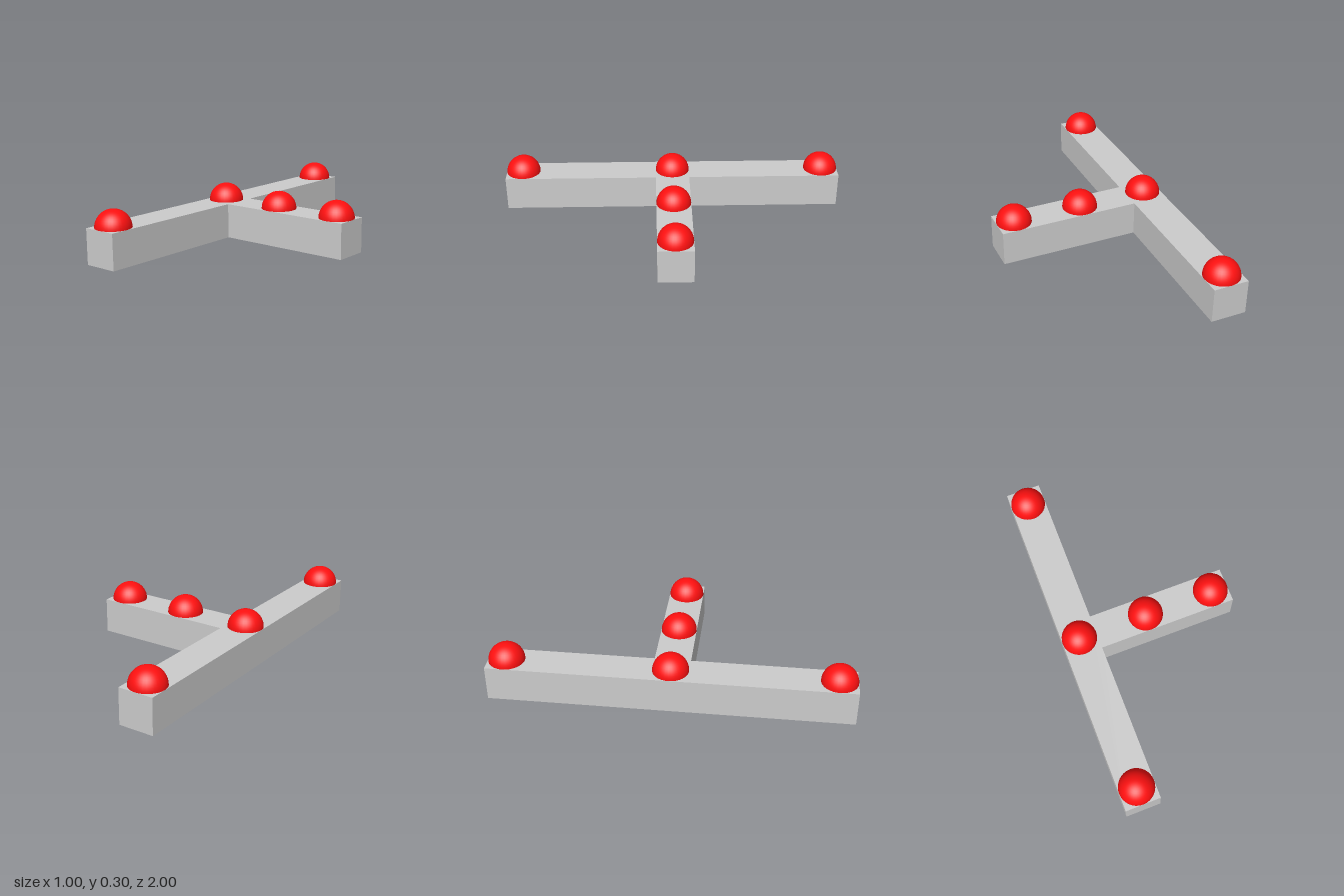
import * as THREE from 'three';

export function createModel() {
  const model = new THREE.Group();
  const grey = new THREE.MeshStandardMaterial({ color: 0xcccccc });
  const red = new THREE.MeshStandardMaterial({ color: 0xff1010 });
  const height = 0.2, radius = 0.1;

  // T-shaped base: a long bar along z with one arm reaching towards +x
  const outline = new THREE.Shape([
    [-0.5, -1], [-0.3, -1], [-0.3, -0.1], [0.5, -0.1],
    [0.5, 0.1], [-0.3, 0.1], [-0.3, 1], [-0.5, 1],
  ].map(([x, y]) => new THREE.Vector2(x, y)));
  const baseGeometry = new THREE.ExtrudeGeometry(outline, { depth: height, bevelEnabled: false });
  baseGeometry.rotateX(-Math.PI / 2);
  const base = new THREE.Mesh(baseGeometry, grey);
  base.name = 'base';
  model.add(base);

  // Half-round studs: bar ends, junction, arm middle and arm end
  const domeGeometry = new THREE.SphereGeometry(radius, 32, 12, 0, Math.PI * 2, 0, Math.PI / 2);
  const places = {
    frontDome: [-0.4, 0.9],
    backDome: [-0.4, -0.9],
    junctionDome: [-0.4, 0],
    armMiddleDome: [0, 0],
    armEndDome: [0.4, 0],
  };
  for (const [name, [x, z]] of Object.entries(places)) {
    const dome = new THREE.Mesh(domeGeometry, red);
    dome.name = name;
    dome.position.set(x, height, z);
    model.add(dome);
  }
  return model;
}
